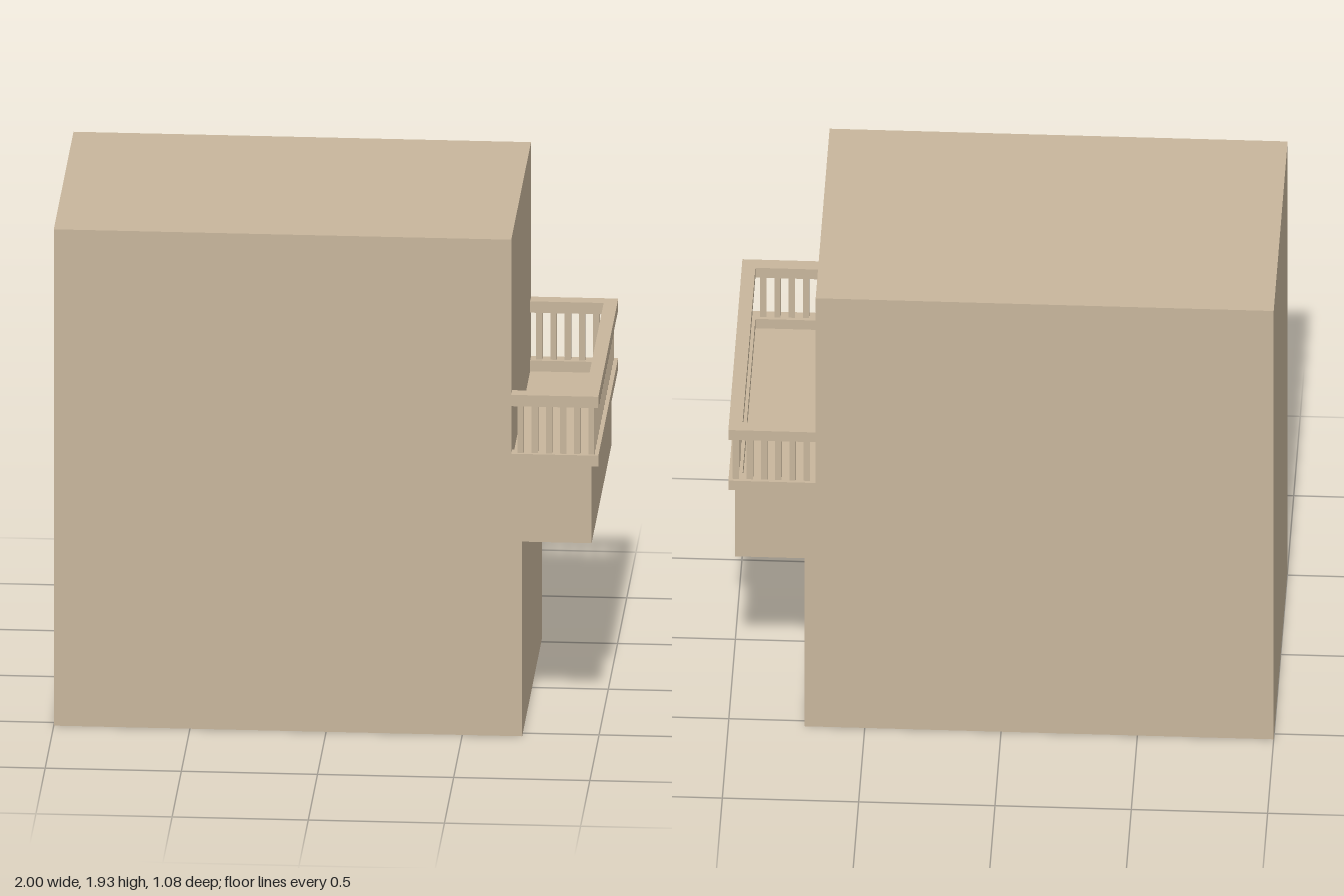
import * as THREE from 'three';

export function createModel() {
  const model = new THREE.Group();
  model.name = 'balconyBuilding';
  const sand = new THREE.MeshStandardMaterial({ color: 0xc8b69c });
  sand.name = 'sand';

  // Adds a flat-faced solid: an outline pushed from one level to the next
  function addExtrusion(name, points, depth, parent = model) {
    const shape = new THREE.Shape(points.map(([x, y]) => new THREE.Vector2(x, y)));
    const geometry = new THREE.ExtrudeGeometry(shape, { depth, bevelEnabled: false });
    const mesh = new THREE.Mesh(geometry, sand);
    mesh.name = name;
    parent.add(mesh);
    return mesh;
  }

  // Building block with the balcony base, as one side outline
  const halfDepth = 0.534;
  const building = addExtrusion('building', [
    [-1, 0], [0.72, 0], [0.72, 0.757], [0.975, 0.757],
    [0.975, 1.056], [0.68, 1.056], [0.68, 1.93], [-1, 1.93],
  ], halfDepth * 2);
  building.position.z = -halfDepth;

  // Balcony railing
  const railing = new THREE.Group();
  railing.name = 'balconyRailing';
  model.add(railing);

  // U-shaped rails, open towards the wall
  function addRail(name, bottom, height, half) {
    const rail = addExtrusion(name, [
      [0.68, -half], [1, -half], [1, half], [0.68, half],
      [0.68, 0.486], [0.95, 0.486], [0.95, -0.486], [0.68, -0.486],
    ], height, railing);
    rail.rotation.x = -Math.PI / 2;
    rail.position.y = bottom;
  }
  addRail('bottomRail', 1.056, 0.042, 0.535);
  addRail('handrail', 1.284, 0.044, 0.538);

  // Square balusters along the front and both sides
  const balusterGeometry = new THREE.BoxGeometry(0.023, 0.186, 0.023);
  function addBaluster(x, z) {
    const baluster = new THREE.Mesh(balusterGeometry, sand);
    baluster.name = 'baluster';
    baluster.position.set(x, 1.191, z);
    railing.add(baluster);
  }
  const frontCount = 20;
  for (let i = 0; i < frontCount; i++) {
    addBaluster(0.974, -0.511 + (1.022 * i) / (frontCount - 1));
  }
  for (const side of [-1, 1]) {
    for (let i = 0; i < 5; i++) addBaluster(0.713 + 0.0522 * i, side * 0.511);
  }
  return model;
}
